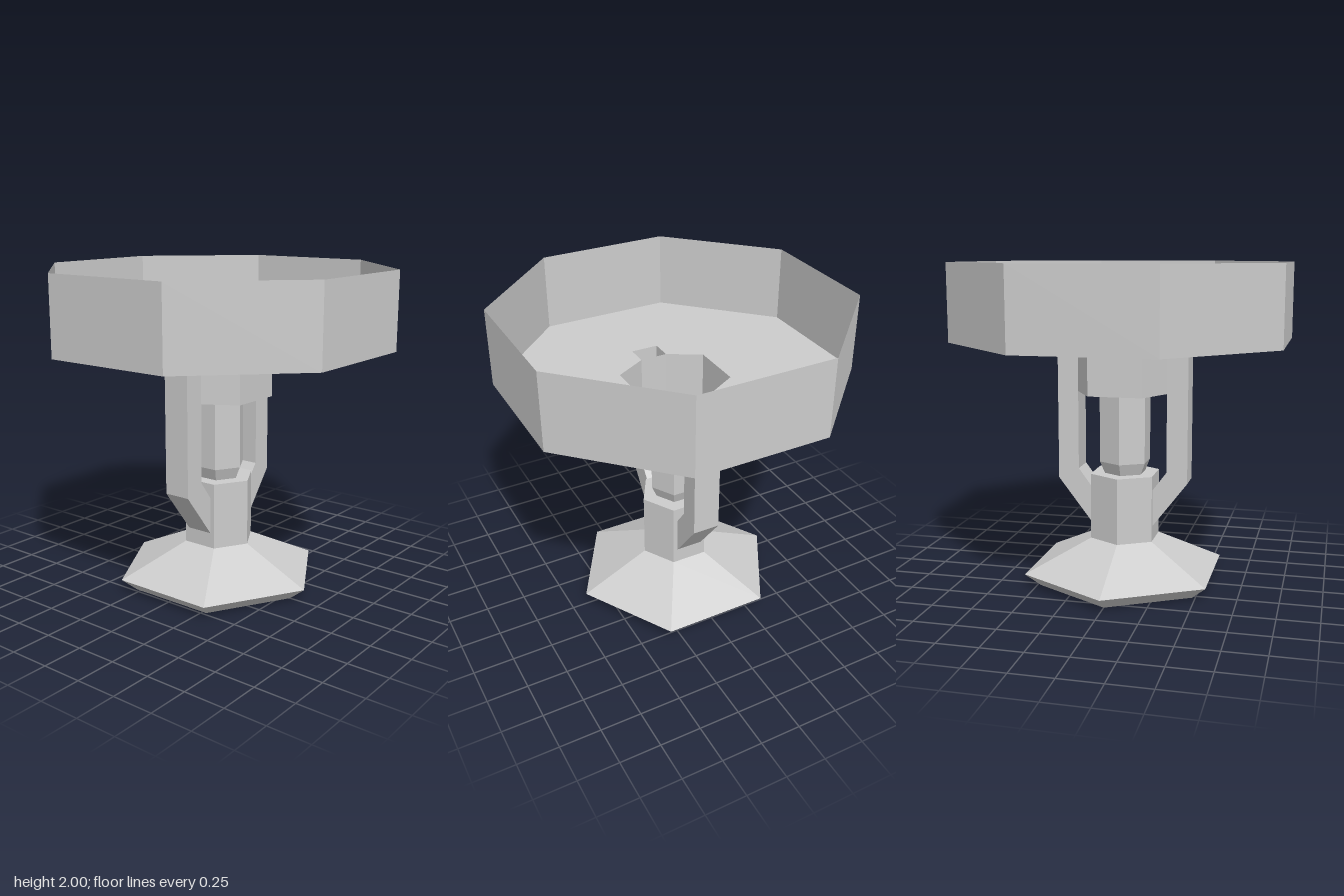
import * as THREE from 'three';

const metal = new THREE.MeshStandardMaterial({ color: 0xcccccc, flatShading: true, side: THREE.DoubleSide });
metal.name = 'pale grey metal';

const points = (list) => list.map(([x, y]) => new THREE.Vector2(x, y));

function part(name, geometry, parent) {
  const mesh = new THREE.Mesh(geometry, metal);
  mesh.name = name;
  parent.add(mesh);
  return mesh;
}

// Open shell swept through matching cross-section loops
function loft(sections) {
  const n = sections[0].length;
  const index = [];
  for (let s = 0; s < sections.length - 1; s++) {
    for (let i = 0; i < n; i++) {
      const a = s * n + i, b = s * n + (i + 1) % n;
      index.push(a, b, b + n, a, b + n, a + n);
    }
  }
  const geometry = new THREE.BufferGeometry();
  geometry.setAttribute('position', new THREE.Float32BufferAttribute(sections.flat(2), 3));
  geometry.setIndex(index);
  geometry.computeVertexNormals();
  return geometry;
}

// Flat polygon with one hole, lying level at height y
function plate(outline, hole, y, facing) {
  const shape = new THREE.Shape(points(outline));
  shape.holes.push(new THREE.Path(points(hole)));
  return new THREE.ShapeGeometry(shape).rotateX(-facing * Math.PI / 2).translate(0, y, 0);
}

function polygon(sides, radius, start) {
  return Array.from({ length: sides }, (_, i) => {
    const a = start + i * 2 * Math.PI / sides;
    return [radius * Math.cos(a), radius * Math.sin(a)];
  });
}

export function createModel() {
  const group = new THREE.Group();
  group.name = 'sprinklerHead';
  const floorY = 1.525, collarY = 1.21;
  const panRadius = 0.99 / Math.cos(Math.PI / 8);

  // Open octagonal pan
  part('panWall', new THREE.LatheGeometry(points([[panRadius, floorY], [panRadius, 2]]), 8)
    .rotateY(Math.PI / 8), group);

  // Pan floor, open over the collar and both arms
  const opening = [
    [0.28, -0.085], [0.41, -0.085], [0.41, 0.085], [0.28, 0.085], [0.165, 0.285], [-0.165, 0.285],
    [-0.28, 0.085], [-0.41, 0.085], [-0.41, -0.085], [-0.28, -0.085], [-0.165, -0.285], [0.165, -0.285],
  ];
  part('panFloor', plate(polygon(8, panRadius, Math.PI / 8), opening, floorY, 1), group);

  // Collar under the pan
  const collar = opening.filter(([x]) => Math.abs(x) < 0.4);
  const ring = (y) => collar.map(([x, z]) => [x, y, z]);
  part('collarWall', loft([ring(floorY), ring(collarY)]), group);
  part('collarBottom', plate(collar, polygon(6, 0.165, Math.PI / 2), collarY, -1), group);

  // Deflector, cup and tapered stem in one six-sided profile
  part('deflectorAndStem', new THREE.LatheGeometry(points([
    [0, 0.235], [0.555, 0], [0.655, 0.08], [0.225, 0.28], [0.225, 0.695],
    [0.133, 0.695], [0.165, 0.77], [0.165, collarY],
  ]), 6), group);

  // Stepped nut below the deflector
  part('bottomNut', new THREE.LatheGeometry(points([
    [0, 0.015], [0.125, 0.015], [0.125, 0.055], [0.225, 0.055], [0.225, 0.14],
  ]), 6), group);

  // Bent hollow frame arms
  const section = (innerX, innerY, outerX, outerY) => [
    [innerX, innerY, -0.085], [outerX, outerY, -0.085], [outerX, outerY, 0.085], [innerX, innerY, 0.085],
  ];
  const armGeometry = loft([
    section(0.28, floorY, 0.41, floorY),
    section(0.28, 0.72, 0.41, 0.655),
    section(0.195, 0.605, 0.195, 0.375),
  ]);
  part('leftArm', armGeometry, group);
  part('rightArm', armGeometry, group).rotation.y = Math.PI;

  return group;
}
